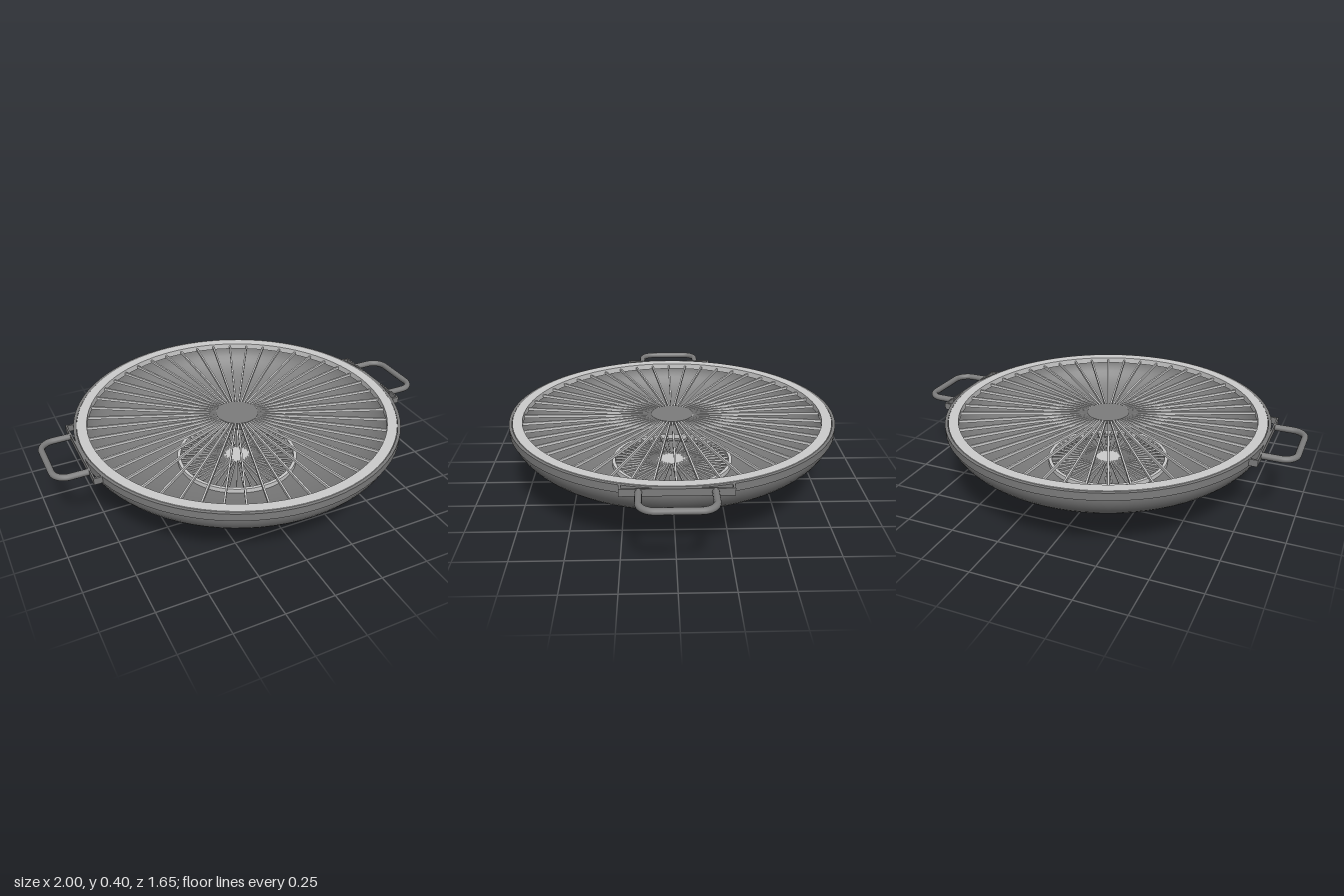
import * as THREE from 'three';
import { toCreasedNormals } from 'three/addons/utils/BufferGeometryUtils.js';

const darkSteel = new THREE.MeshStandardMaterial({ color: 0x7c7c7c });
const brightSteel = new THREE.MeshStandardMaterial({ color: 0xe4e4e4 });
const SEGMENTS = 80;

function addMesh(parent, name, geometry, material) {
  const mesh = new THREE.Mesh(geometry, material);
  mesh.name = name;
  parent.add(mesh);
  return mesh;
}

// Turned part from a profile that runs counter-clockwise in (radius, height)
function turned(parent, name, points, material) {
  const profile = points.map(([r, y]) => new THREE.Vector2(r, y));
  const geometry = new THREE.LatheGeometry(profile, SEGMENTS);
  return addMesh(parent, name, toCreasedNormals(geometry, 0.5), material);
}

// Ring of rectangular section
function band(parent, name, inner, outer, bottom, top, material) {
  return turned(parent, name, [
    [inner, bottom], [outer, bottom], [outer, top], [inner, top], [inner, bottom],
  ], material);
}

// Points along an elliptical bowl curve, from the centre out to the rim
function bowlCurve(radius, depth, steps = 20) {
  return Array.from({ length: steps + 1 }, (_, i) => {
    const a = (i / steps) * Math.PI / 2;
    return [radius * Math.sin(a), 0.38 - depth * Math.cos(a)];
  });
}

// Radial bars between two radii
function spokes(parent, name, count, inner, outer, y, width, height, offset = 0) {
  const group = new THREE.Group();
  group.name = name;
  const geometry = new THREE.BoxGeometry(outer - inner, height, width);
  geometry.translate((inner + outer) / 2, 0, 0);
  for (let i = 0; i < count; i++) {
    const bar = addMesh(group, 'bar', geometry, brightSteel);
    bar.position.y = y;
    bar.rotation.y = ((i + offset) / count) * Math.PI * 2;
  }
  parent.add(group);
}

// Flat disc
function disc(parent, name, radius, y, height, material) {
  const geometry = new THREE.CylinderGeometry(radius, radius, height, 48);
  addMesh(parent, name, geometry, material).position.y = y;
}

// Carrying handle: bent rod on a shallow bracket, built on the +x side
function handle(name) {
  const group = new THREE.Group();
  group.name = name;

  const v = (x, z) => new THREE.Vector3(x, 0.385, z);
  const path = new THREE.CurvePath();
  const far = 0.984, half = 0.161, bend = 0.068;
  path.add(new THREE.LineCurve3(v(0.82, half), v(far - bend, half)));
  for (const s of [1, -1]) {
    const ends = [v(far - bend, s * half), v(far, s * (half - bend))];
    const k = 0.45 * bend;
    const controls = [v(far - k, s * half), v(far, s * (half - k))];
    if (s < 0) {
      ends.reverse();
      controls.reverse();
    }
    path.add(new THREE.CubicBezierCurve3(ends[0], controls[0], controls[1], ends[1]));
    if (s > 0) path.add(new THREE.LineCurve3(v(far, half - bend), v(far, bend - half)));
  }
  path.add(new THREE.LineCurve3(v(far - bend, -half), v(0.82, -half)));
  addMesh(group, 'handleRod', new THREE.TubeGeometry(path, 72, 0.016, 12, false), darkSteel);

  addMesh(group, 'bracketPlate', new THREE.BoxGeometry(0.008, 0.034, 0.49), darkSteel)
    .position.set(0.826, 0.384, 0);
  for (const s of [-1, 1]) {
    addMesh(group, 'bracketEnd', new THREE.BoxGeometry(0.045, 0.034, 0.01), darkSteel)
      .position.set(0.806, 0.384, s * 0.24);
  }
  return group;
}

export function createModel() {
  const model = new THREE.Group();
  model.name = 'fireBowl';

  // Foot and bowl shell
  band(model, 'foot', 0.275, 0.352, 0, 0.11, darkSteel);
  turned(model, 'bowl', [...bowlCurve(0.82, 0.307), ...bowlCurve(0.802, 0.29).reverse()], darkSteel);
  band(model, 'rim', 0.811, 0.826, 0.364, 0.401, darkSteel);

  // Cooking grate at the rim
  band(model, 'grateRing', 0.76, 0.809, 0.372, 0.403, brightSteel);
  spokes(model, 'grateBars', 48, 0.05, 0.775, 0.384, 0.009, 0.014);
  disc(model, 'grateHub', 0.108, 0.384, 0.018, darkSteel);

  // Fire grate resting on the bowl floor
  band(model, 'fireGrateRing', 0.3, 0.317, 0.113, 0.138, brightSteel);
  spokes(model, 'fireGrateBars', 48, 0.03, 0.305, 0.127, 0.007, 0.01, 0.5);
  disc(model, 'fireGrateHub', 0.06, 0.127, 0.012, brightSteel);

  // Handles on both sides
  const left = handle('leftHandle');
  const right = handle('rightHandle');
  right.rotation.y = Math.PI;
  model.add(left, right);

  return model;
}
